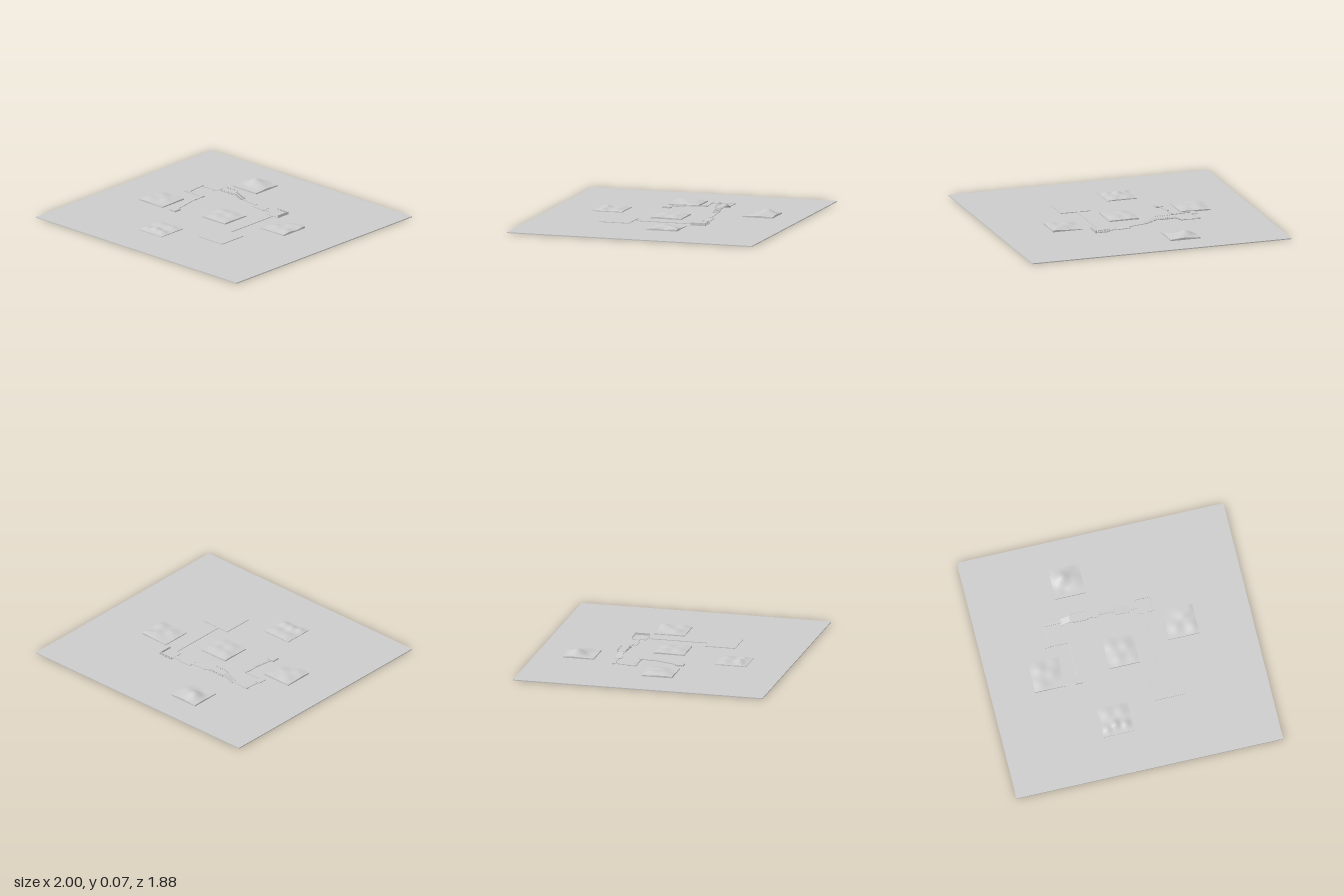
import * as THREE from 'three';

const mat = new THREE.MeshStandardMaterial({ color: 0xcccccc });
const GROUND = 0.007;

function add(parent, name, geometry, x = 0, y = 0, z = 0) {
  const mesh = new THREE.Mesh(geometry, mat);
  mesh.name = name;
  mesh.position.set(x, y, z);
  parent.add(mesh);
  return mesh;
}

// Box given by its extents
function block(parent, name, x0, x1, y0, y1, z0, z1) {
  return add(parent, name, new THREE.BoxGeometry(x1 - x0, y1 - y0, z1 - z0),
    (x0 + x1) / 2, (y0 + y1) / 2, (z0 + z1) / 2);
}

// Thin walkway slab between two points of its upper surface
function lane(parent, name, from, to, width, thick = 0.005) {
  const a = new THREE.Vector3(...from), b = new THREE.Vector3(...to);
  const mesh = add(parent, name, new THREE.BoxGeometry(width, thick, a.distanceTo(b)));
  mesh.position.copy(a).add(b).multiplyScalar(0.5);
  mesh.position.y -= thick / 2;
  mesh.lookAt(b);
  return mesh;
}

// Square terrain tile; each bump is [x, z, height, radius] from the tile centre
function terrain(parent, name, cx, cz, base, bumps) {
  const size = 0.23, n = 28;
  const geo = new THREE.BoxGeometry(size, 1, size, n, 1, n);
  const p = geo.attributes.position;
  for (let i = 0; i < p.count; i++) {
    let h = 0;
    if (p.getY(i) > 0) {
      h = base;
      for (const [bx, bz, bh, r] of bumps) {
        const dx = p.getX(i) - bx, dz = p.getZ(i) - bz;
        h += bh * Math.exp(-(dx * dx + dz * dz) / (r * r));
      }
      h = Math.max(h, 0.003);
    }
    p.setY(i, h);
  }
  geo.computeVertexNormals();
  add(parent, name, geo, cx, GROUND, cz);
}

// Row of posts with a thin rail on top, along x
function railing(parent, x0, x1, y0, y1, z, count) {
  for (let i = 0; i < count; i++) {
    const x = x0 + (x1 - x0) * i / (count - 1);
    block(parent, 'railPost', x - 0.002, x + 0.002, y0, y1, z - 0.002, z + 0.002);
  }
}

export function createModel() {
  const model = new THREE.Group();
  model.name = 'terrainBoard';
  block(model, 'groundBoard', -1, 1, 0, GROUND, -0.94, 0.94);

  // Hilly tiles
  const tiles = new THREE.Group();
  tiles.name = 'terrainTiles';
  model.add(tiles);
  terrain(tiles, 'peakTile', -0.255, -0.61, 0.009,
    [[-0.03, -0.03, 0.037, 0.055], [0.06, 0.0, 0.014, 0.06], [-0.03, 0.06, -0.004, 0.03], [0.03, -0.09, 0.008, 0.05]]);
  terrain(tiles, 'eastTile', 0.48, -0.115, 0.006,
    [[0.03, -0.05, 0.016, 0.055], [-0.04, 0.03, 0.014, 0.05], [0.08, 0.05, 0.016, 0.05], [0.09, -0.09, 0.012, 0.04]]);
  terrain(tiles, 'middleTile', 0.005, 0.005, 0.008,
    [[-0.06, -0.05, 0.013, 0.05], [0.04, -0.04, 0.014, 0.05], [-0.03, 0.05, 0.013, 0.05], [0.07, 0.06, 0.008, 0.05]]);
  terrain(tiles, 'westTile', -0.565, 0.06, 0.008,
    [[-0.06, 0.05, 0.014, 0.06], [-0.04, -0.05, 0.015, 0.05], [0.04, 0.0, 0.013, 0.05], [0.07, -0.08, 0.008, 0.05]]);
  terrain(tiles, 'southTile', -0.155, 0.512, 0.004,
    [[-0.075, 0.06, 0.015, 0.03], [-0.01, 0.04, 0.022, 0.034], [0.065, 0.05, 0.016, 0.032],
      [-0.05, -0.06, 0.012, 0.05], [0.05, -0.06, 0.013, 0.05]]);
  block(tiles, 'flatTile', 0.155, 0.385, GROUND, 0.012, 0.205, 0.435);

  // Raised walkway on the west side
  const walk = new THREE.Group();
  walk.name = 'walkway';
  model.add(walk);
  block(walk, 'startPad', -0.375, -0.32, GROUND, 0.018, 0.12, 0.18);
  lane(walk, 'startRamp', [-0.35, 0.018, 0.13], [-0.35, 0.036, -0.06], 0.018);
  lane(walk, 'southLane', [-0.35, 0.036, -0.06], [-0.35, 0.036, -0.155], 0.018);
  lane(walk, 'crossLane', [-0.341, 0.036, -0.146], [-0.49, 0.036, -0.146], 0.018);
  block(walk, 'cornerPad', -0.53, -0.485, 0.031, 0.037, -0.2, -0.135);
  lane(walk, 'westLane', [-0.504, 0.036, -0.19], [-0.504, 0.036, -0.318], 0.018);
  lane(walk, 'northLane', [-0.513, 0.036, -0.309], [-0.36, 0.036, -0.309], 0.018);

  // Bridge with stepped ends and posts along both sides
  const bridge = new THREE.Group();
  bridge.name = 'bridge';
  model.add(bridge);
  lane(bridge, 'westStair', [-0.375, 0.036, -0.306], [-0.305, 0.06, -0.306], 0.048);
  block(bridge, 'westLanding', -0.31, -0.285, 0.054, 0.06, -0.33, -0.282);
  block(bridge, 'deck', -0.29, -0.175, 0.056, 0.062, -0.34, -0.272);
  block(bridge, 'eastLanding', -0.175, -0.155, 0.054, 0.06, -0.33, -0.282);
  for (let i = 0; i < 5; i++) {
    const x = -0.158 + i * 0.013, y = 0.056 - i * 0.004;
    block(bridge, 'step', x, x + 0.015, y - 0.006, y, -0.33, -0.282);
  }
  for (const z of [-0.338, -0.274]) railing(bridge, -0.286, -0.179, 0.06, 0.072, z, 7);

  // Descent to the eastern fort
  const descent = new THREE.Group();
  descent.name = 'descent';
  model.add(descent);
  lane(descent, 'slope', [-0.096, 0.038, -0.308], [0.035, 0.022, -0.308], 0.02);
  lane(descent, 'wideRamp', [0.03, 0.022, -0.305], [0.135, 0.012, -0.305], 0.06);
  block(descent, 'groundLane', 0.13, 0.2, GROUND, 0.0115, -0.32, -0.29);

  // Fort: low floor, end wall and railed sides
  const fort = new THREE.Group();
  fort.name = 'fort';
  model.add(fort);
  block(fort, 'floor', 0.2, 0.31, GROUND, 0.012, -0.355, -0.245);
  block(fort, 'endWall', 0.306, 0.311, GROUND, 0.028, -0.355, -0.245);
  railing(fort, 0.202, 0.304, 0.01, 0.026, -0.353, 8);
  block(fort, 'handrail', 0.2, 0.31, 0.026, 0.029, -0.355, -0.351);

  // Low lane from the fort to the flat tile
  block(model, 'eastLane', 0.24, 0.262, GROUND, 0.0115, -0.246, 0.206);

  return model;
}
